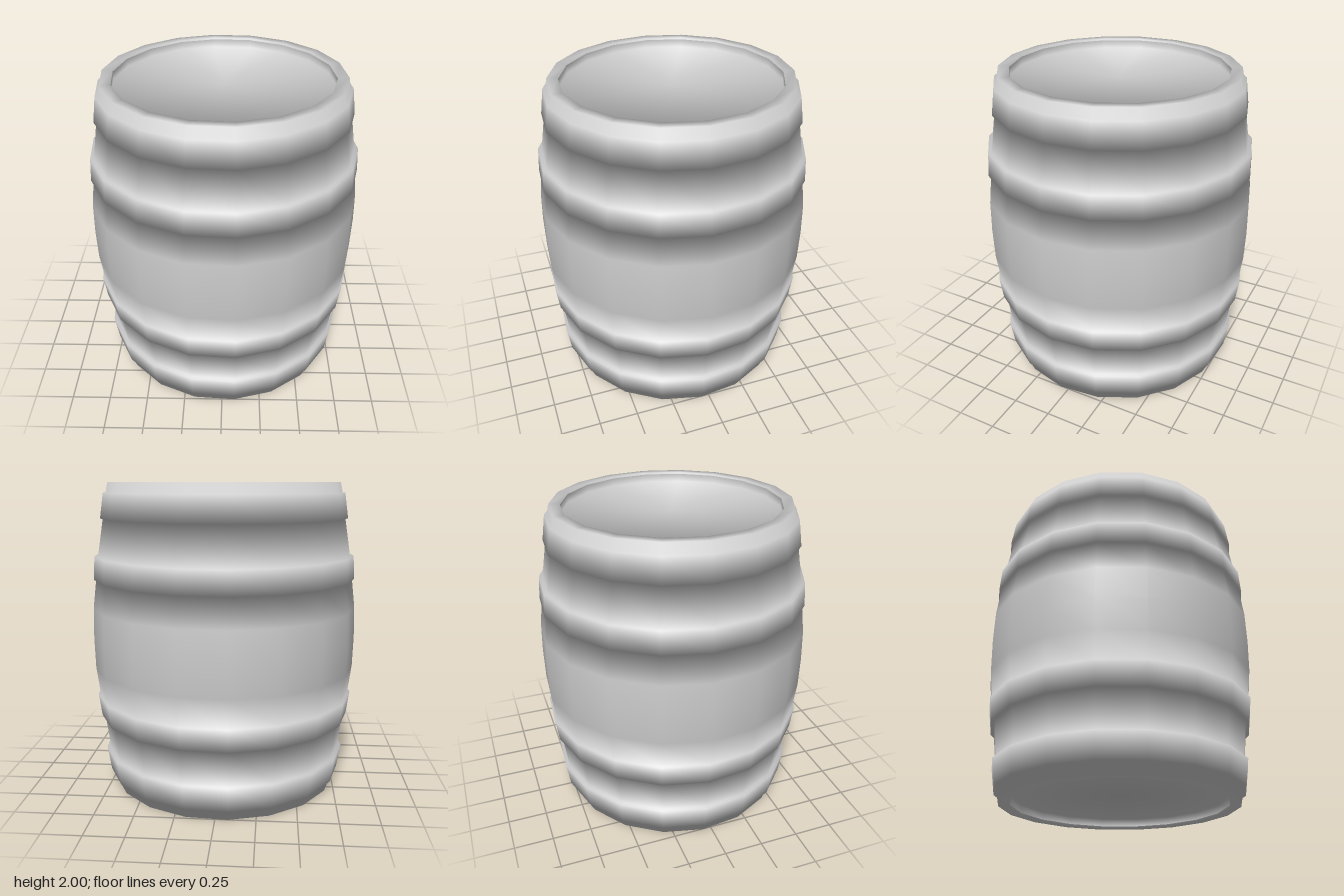
import * as THREE from 'three';

const SIDES = 18;
const TURN = THREE.MathUtils.degToRad(6);

// Turn a profile of [radius, height] points, listed so that faces point outward
function turned(name, points) {
  const profile = points.map(([r, y]) => new THREE.Vector2(r, y));
  const geometry = new THREE.LatheGeometry(profile, SIDES, TURN);

  // Soft shading: both neighbouring bands count equally, however narrow they are
  const bands = profile.slice(1).map((p, j) => {
    const d = p.clone().sub(profile[j]).normalize();
    return new THREE.Vector2(d.y, -d.x);
  });
  const slopes = profile.map((p, j) => {
    const below = bands[Math.max(j - 1, 0)];
    const above = bands[Math.min(j, bands.length - 1)];
    return below.clone().add(above).normalize();
  });
  const normal = geometry.attributes.normal;
  for (let i = 0; i < normal.count; i++) {
    const angle = TURN + (Math.floor(i / profile.length) / SIDES) * Math.PI * 2;
    const n = slopes[i % profile.length];
    normal.setXYZ(i, n.x * Math.sin(angle), n.y, n.x * Math.cos(angle));
  }

  const mesh = new THREE.Mesh(geometry, new THREE.MeshStandardMaterial({ color: 0xcccccc }));
  mesh.name = name;
  return mesh;
}

// One hoop as raised steps: stave below, hoop lower edge, hoop upper edge, stave above
function hoop(y0, y1, stave0, hoop0, hoop1, stave1) {
  return [[stave0, y0], [hoop0, y0], [hoop1, y1], [stave1, y1]];
}

export function createModel() {
  const barrel = new THREE.Group();
  barrel.name = 'barrel';

  // Bulging staves with four raised hoops and a flat rim at each end
  barrel.add(turned('stavesAndHoops', [
    [0.685, 0.06], [0.685, 0], [0.755, 0],
    ...hoop(0.07, 0.23, 0.77, 0.79, 0.815, 0.79),
    ...hoop(0.465, 0.615, 0.82, 0.84, 0.86, 0.845),
    [0.868, 0.8], [0.873, 1], [0.868, 1.2],
    ...hoop(1.385, 1.535, 0.845, 0.86, 0.85, 0.827),
    ...hoop(1.775, 1.935, 0.788, 0.805, 0.782, 0.765),
    [0.752, 2], [0.685, 2], [0.685, 1.94],
  ]));

  // Flat heads set slightly below each rim, with a softened corner
  barrel.add(turned('bottomHead', [[0, 0.06], [0.684, 0.06], [0.684, 0.01]]));
  barrel.add(turned('topHead', [[0.684, 1.99], [0.684, 1.94], [0, 1.94]]));

  return barrel;
}
